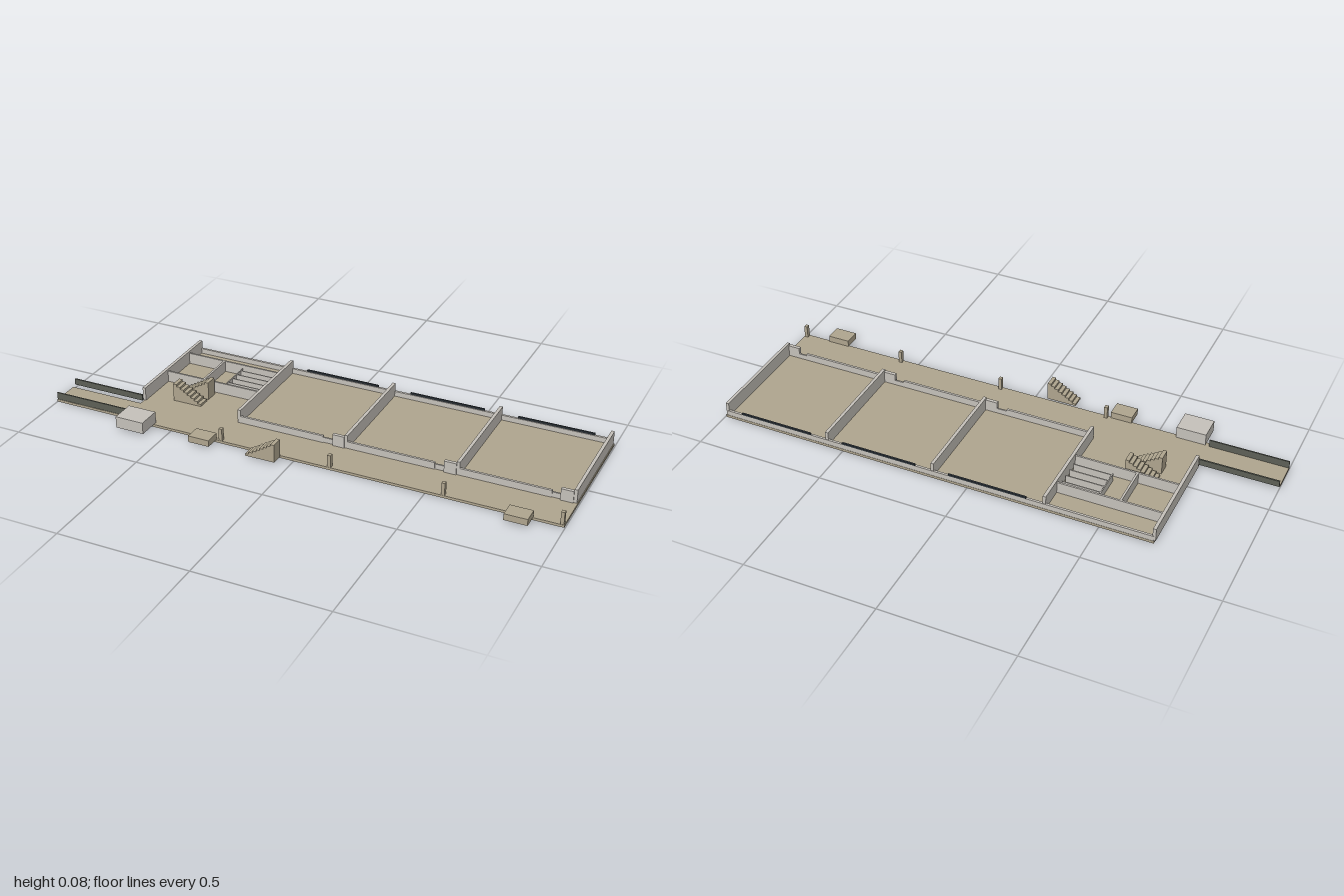
import * as THREE from 'three';

export function createModel() {
  const group = new THREE.Group();
  const mat = (name, color) => {
    const m = new THREE.MeshStandardMaterial({ color });
    m.name = name;
    return m;
  };
  const tan = mat('tan concrete', 0xb0a68f);
  const grey = mat('light grey wall', 0xc6c2bb);
  const rail = mat('dark railing', 0x5d6057);
  const glass = mat('dark window', 0x2f363c);

  // Box given by its lower and upper corners
  const box = (name, m, x0, x1, y0, y1, z0, z1) => {
    const mesh = new THREE.Mesh(new THREE.BoxGeometry(x1 - x0, y1 - y0, z1 - z0), m);
    mesh.position.set((x0 + x1) / 2, (y0 + y1) / 2, (z0 + z1) / 2);
    mesh.name = name;
    group.add(mesh);
    return mesh;
  };
  const F = 0.01; // floor level

  // Ground slab and side walkway with its railings
  box('floorSlab', tan, -0.7, 0.997, 0, F, -0.332, 0.256);
  box('walkway', tan, -1, -0.7, 0, F, 0.137, 0.245);
  box('walkwayRailing', rail, -1, -0.7, 0.014, 0.038, 0.117, 0.123);
  box('walkwayRailing', rail, -1, -0.7, F, 0.038, 0.238, 0.243);

  // Tall cross walls between the rooms
  const walls = [-0.295, 0.137, 0.565, 0.988];
  [-0.699, ...walls].forEach((x) => box('crossWall', grey, x - 0.006, x + 0.006, F, 0.062, -0.329, 0.109));

  // Low rear wall
  box('rearWall', grey, -0.699, 0.988, F, 0.03, -0.331, -0.322);

  // Each classroom: rear window, low front wall, door leaf and tall end piece
  for (let i = 0; i < 3; i++) {
    const x0 = walls[i], x1 = walls[i + 1];
    box('rearWindow', glass, x0 + 0.068, x1 - 0.063, 0.03, 0.037, -0.332, -0.325);
    box('frontWall', grey, x0 + 0.006, x0 + 0.34, F, 0.037, 0.1, 0.109);
    box('doorLeaf', grey, x0 + 0.34, x1 - 0.052, F, 0.03, 0.1, 0.106);
    box('frontPier', grey, x1 - 0.052, x1 - 0.006, F, 0.055, 0.1, 0.113);
  }

  // Front columns
  walls.forEach((x) => box('column', tan, x - 0.006, x + 0.007, F, 0.058, 0.24, 0.255));

  // Wash rooms in the end block
  box('washroomWall', grey, -0.693, -0.301, F, 0.054, -0.232, -0.225);
  box('washroomWall', grey, -0.693, -0.301, F, 0.054, -0.066, -0.059);
  box('washroomDivider', grey, -0.541, -0.533, F, 0.054, -0.225, -0.066);
  for (let i = 0; i < 4; i++) {
    const z = -0.203 + i * 0.035;
    box('stallPartition', grey, -0.452, -0.308, F, 0.042, z - 0.002, z + 0.002);
  }
  box('stallFront', grey, -0.456, -0.452, F, 0.042, -0.22, -0.09);

  // Solid flight of steps climbing from xLow to xHigh
  const stairs = (name, xLow, xHigh, z0, z1) => {
    const n = 8, top = 0.08;
    const shape = new THREE.Shape();
    shape.moveTo(xLow, F);
    for (let i = 0; i < n; i++) {
      const y = F + ((top - F) * (i + 1)) / n;
      shape.lineTo(xLow + ((xHigh - xLow) * i) / n, y);
      shape.lineTo(xLow + ((xHigh - xLow) * (i + 1)) / n, y);
    }
    shape.lineTo(xHigh, F);
    const geo = new THREE.ExtrudeGeometry(shape, { depth: z1 - z0, bevelEnabled: false });
    const mesh = new THREE.Mesh(geo, tan);
    mesh.position.z = z0;
    mesh.name = name;
    group.add(mesh);
  };
  stairs('outerStairs', -0.165, -0.05, 0.262, 0.309);
  stairs('innerStairsFront', -0.482, -0.598, 0.017, 0.064);
  stairs('innerStairsRear', -0.598, -0.482, -0.045, 0.003);

  // Entrance blocks along the front
  box('entranceBlock', grey, -0.685, -0.572, F, 0.055, 0.24, 0.333);
  box('entranceStep', tan, -0.395, -0.312, F, 0.035, 0.25, 0.312);
  box('entranceStep', tan, 0.803, 0.888, F, 0.035, 0.25, 0.312);

  return group;
}
